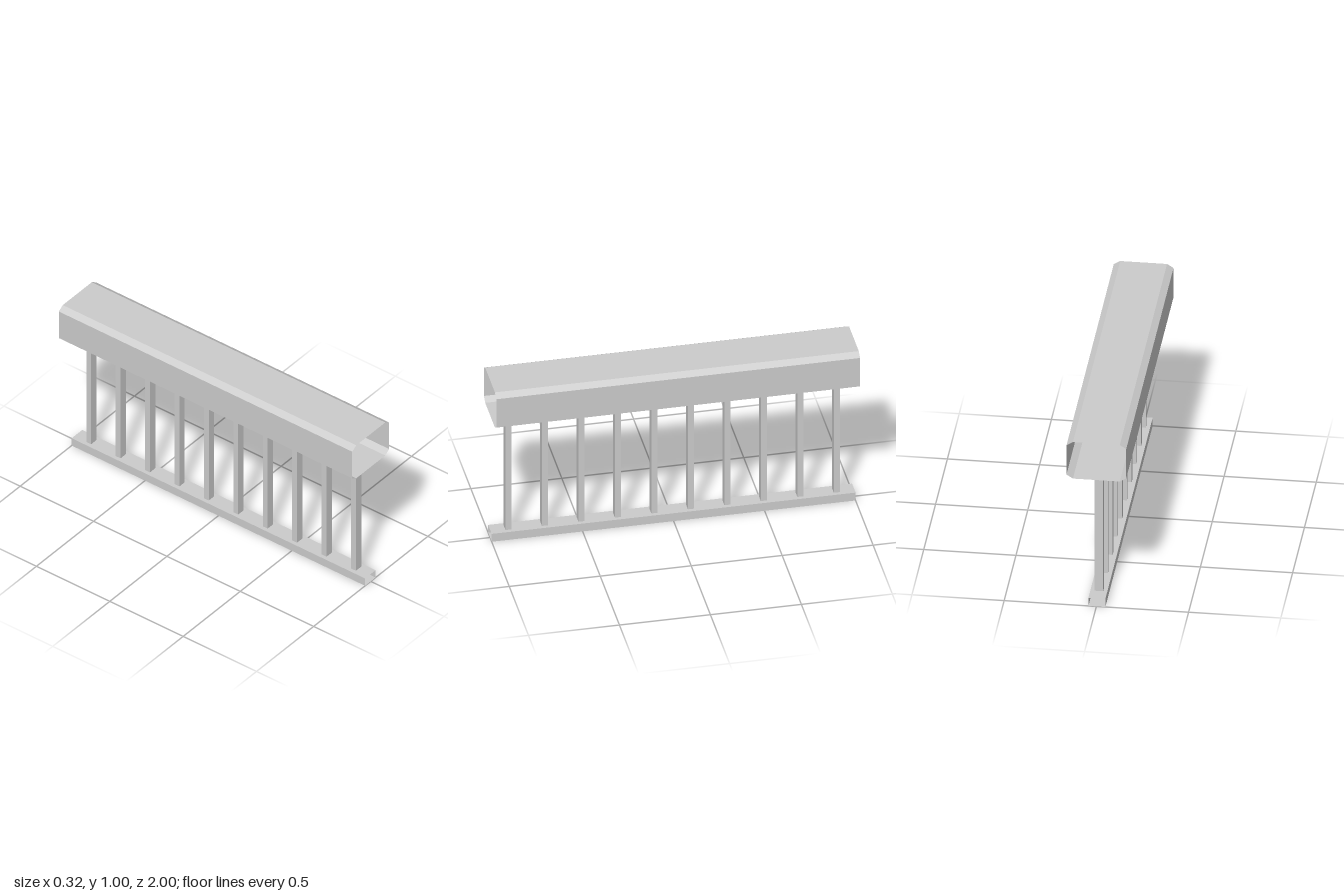
import * as THREE from 'three';

const material = new THREE.MeshStandardMaterial({
  color: 0xcccccc, flatShading: true, side: THREE.DoubleSide,
});

// Open-ended tube along z from a counter-clockwise xy cross-section
function openTube(profile, length) {
  const positions = [];
  const h = length / 2;
  profile.forEach(([ax, ay], i) => {
    const [bx, by] = profile[(i + 1) % profile.length];
    positions.push(ax, ay, -h, bx, by, -h, bx, by, h);
    positions.push(ax, ay, -h, bx, by, h, ax, ay, h);
  });
  const geometry = new THREE.BufferGeometry();
  geometry.setAttribute('position', new THREE.Float32BufferAttribute(positions, 3));
  geometry.computeVertexNormals();
  return geometry;
}

// Rectangle with optional chamfered corners, centred on the origin
function section(width, height, cx = 0, cy = 0) {
  const w = width / 2, h = height / 2;
  if (!cx) return [[-w, -h], [w, -h], [w, h], [-w, h]];
  return [
    [-w + cx, -h], [w - cx, -h], [w, -h + cy], [w, h - cy],
    [w - cx, h], [-w + cx, h], [-w, h - cy], [-w, -h + cy],
  ];
}

export function createModel() {
  const model = new THREE.Group();
  model.name = 'railing';

  const add = (name, geometry, x, y, z) => {
    const mesh = new THREE.Mesh(geometry, material);
    mesh.name = name;
    mesh.position.set(x, y, z);
    model.add(mesh);
  };

  // Hollow chamfered handrail
  const railBottom = 0.78, railTop = 1.005;
  add('handrail', openTube(section(0.324, railTop - railBottom, 0.035, 0.022), 2),
    0, (railBottom + railTop) / 2, 0);

  // Hollow bottom rail
  const baseTop = 0.05;
  add('bottomRail', openTube(section(0.092, baseTop), 2), -0.003, baseTop / 2, 0);

  // Evenly spaced balusters between the rails
  const height = railBottom - baseTop;
  const baluster = openTube(section(0.047, 0.033), height).rotateX(-Math.PI / 2);
  for (let i = 0; i < 10; i++) {
    add('baluster' + (i + 1), baluster, -0.003, baseTop + height / 2, 0.903 - i * 0.2005);
  }

  return model;
}
